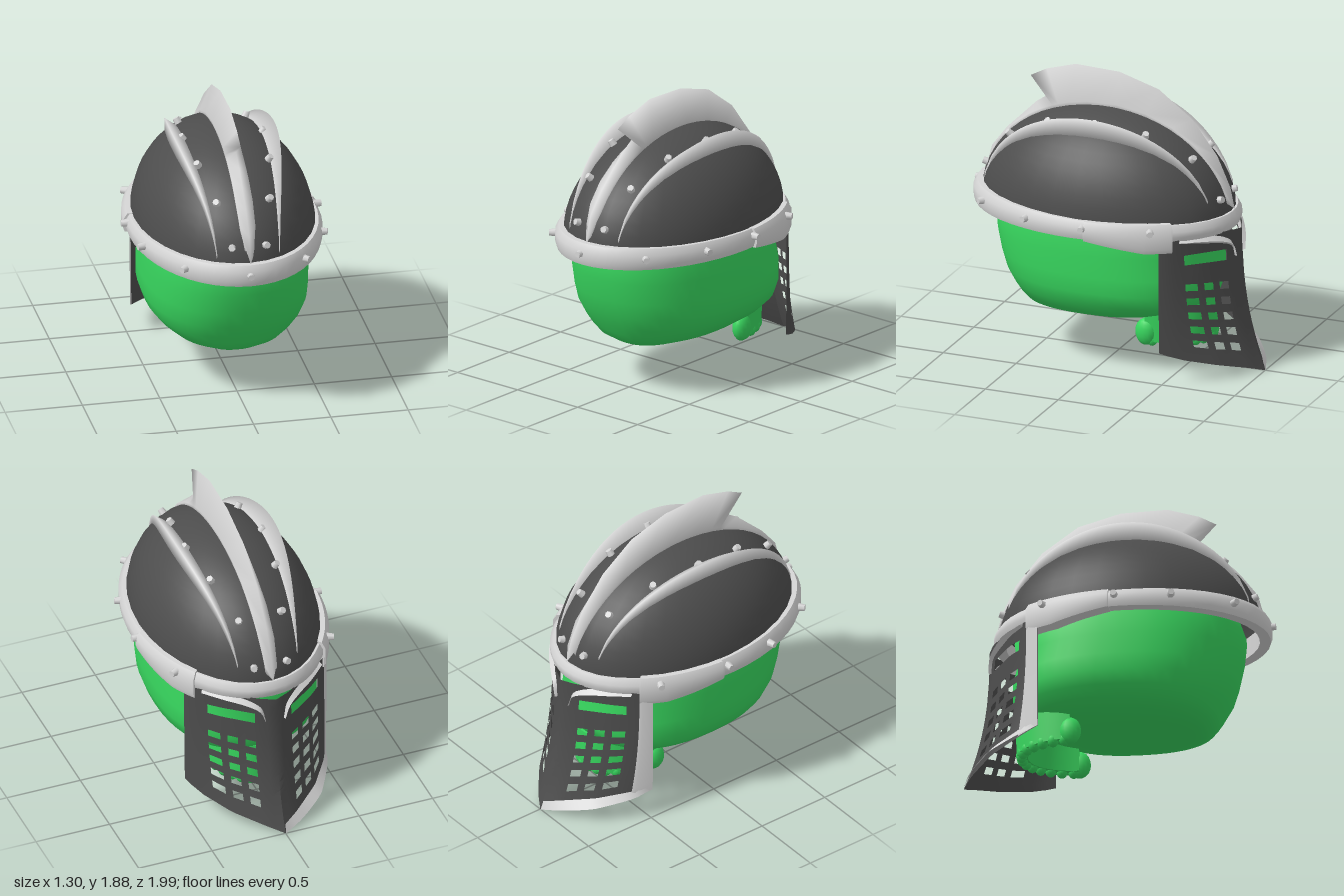
import * as THREE from 'three';
import { toCreasedNormals } from 'three/addons/utils/BufferGeometryUtils.js';

const steel = new THREE.MeshStandardMaterial({ color: 0xd6d6d6, side: THREE.DoubleSide });
const iron = new THREE.MeshStandardMaterial({ color: 0x4d4d4d, side: THREE.DoubleSide });
const green = new THREE.MeshStandardMaterial({ color: 0x38d85f });
steel.name = 'steel';
iron.name = 'darkIron';
green.name = 'greenBone';

// Dome ellipsoid
const D = { y: 1, z: 0.07, rx: 0.575, ry: 0.65, rz: 0.84 };
const domeY = (x, z) =>
  D.y + D.ry * Math.sqrt(Math.max(0, 1 - (x / D.rx) ** 2 - ((z - D.z) / D.rz) ** 2));

// Joins rows of points into a surface; skip(i, j) leaves holes
function loft(rows, { closed = false, caps = false, skip = null, crease = 0.7 } = {}) {
  const n = rows[0].length, pos = rows.flat(2), idx = [];
  for (let i = 0; i < rows.length - 1; i++) {
    for (let j = 0; j < (closed ? n : n - 1); j++) {
      if (skip && skip(i, j)) continue;
      const a = i * n + j, b = i * n + (j + 1) % n;
      idx.push(a, a + n, b + n, a, b + n, b);
    }
  }
  if (caps) {
    const e = (rows.length - 1) * n;
    for (let j = 1; j < n - 1; j++) idx.push(0, j, j + 1, e, e + j + 1, e + j);
  }
  const g = new THREE.BufferGeometry();
  g.setAttribute('position', new THREE.Float32BufferAttribute(pos, 3));
  g.setIndex(idx);
  g.computeVertexNormals();
  return toCreasedNormals(g, crease);
}
const range = (n, f) => Array.from({ length: n + 1 }, (_, i) => f(i / n));

// Visor surface: u runs from the middle (0) to the rear edge (+-1), v from top to bottom
const PLAN = [ // u, top x z y, bottom x z y
  [0, 0, -0.835, 0.94, 0, -1, 0],
  [0.2, 0.1, -0.8, 0.95, 0.1, -0.94, 0.04],
  [0.55, 0.3, -0.67, 0.96, 0.28, -0.79, 0.1],
  [0.85, 0.45, -0.53, 0.95, 0.43, -0.58, 0.16],
  [1, 0.48, -0.47, 0.93, 0.475, -0.47, 0.2],
];
function visorPoint(u, v) {
  const a = Math.abs(u);
  let k = 0;
  while (k < 3 && a > PLAN[k + 1][0]) k++;
  const f = (a - PLAN[k][0]) / (PLAN[k + 1][0] - PLAN[k][0]);
  const p = PLAN[k].map((q, i) => q + (PLAN[k + 1][i] - q) * f);
  const flare = v ** 2.4;
  return [Math.sign(u) * (p[1] + (p[4] - p[1]) * flare), p[3] + (p[6] - p[3]) * v, p[2] + (p[5] - p[2]) * flare];
}

export function createModel() {
  const root = new THREE.Group();
  const add = (name, geo, mat) => {
    const m = new THREE.Mesh(geo, mat);
    m.name = name;
    root.add(m);
    return m;
  };

  // Helmet dome
  const dome = new THREE.SphereGeometry(1, 32, 14, 0, Math.PI * 2, 0, Math.PI / 2);
  dome.scale(D.rx, D.ry, D.rz);
  dome.translate(0, D.y, D.z);
  add('dome', dome, iron);

  // Rim band, and the deeper side plates where the visor hangs
  const band = (a0, a1, grow, low, high) => loft(range(48, t => {
    const a = a0 + (a1 - a0) * t, c = Math.cos(a), s = Math.sin(a);
    const p = (d, y) => [c * (0.615 + d), y, 0.08 + s * (0.885 + d)];
    const b = low(t), h = high(s);
    return [p(-0.08, h), p(grow - 0.025, h), p(grow, h - 0.04), p(grow, b + 0.03), p(grow - 0.01, b), p(-0.08, b)];
  }), { closed: true, caps: true });
  add('rimBand', band(0, Math.PI * 2, 0, () => 0.945, s => 1.065 + 0.02 * s), steel);
  for (const side of [1, -1]) {
    const ang = k => side > 0 ? -k : Math.PI + k;
    const r = [ang(0.1), ang(0.78)];
    const start = side > 0 ? 1 : 0;
    add('hingePlate', band(Math.min(...r), Math.max(...r), 0.015,
      t => 0.94 - 0.065 * Math.min(1, 1.5 * Math.abs(t - start)), () => 1.065), steel);
  }

  // Central crest with a forward-hooked fin: base z, ridge z, ridge y, half width
  const crest = [
    [0.88, 0.92, 1.08, 0.03], [0.82, 0.875, 1.25, 0.05], [0.72, 0.77, 1.39, 0.055],
    [0.6, 0.65, 1.51, 0.055], [0.52, 0.57, 1.59, 0.055], [0.44, 0.47, 1.66, 0.055],
    [0.4, 0.61, 1.76, 0.055], [0.33, 0.5, 1.82, 0.055], [0.2, 0.3, 1.88, 0.055],
    [0, 0, 1.87, 0.055], [-0.2, -0.27, 1.79, 0.055], [-0.38, -0.5, 1.62, 0.055],
    [-0.54, -0.67, 1.4, 0.055], [-0.68, -0.76, 1.2, 0.05], [-0.75, -0.79, 1.06, 0.04],
  ];
  add('crest', loft(crest.map(([zb, zo, yo, w]) => {
    const y = domeY(w, zb);
    return [[w, y - 0.03, zb], [w, y + 0.02, zb], [0, yo, zo], [-w, y + 0.02, zb], [-w, y - 0.03, zb]];
  }), { closed: true, caps: true, crease: 3.1 }), steel);

  // Curved blades on both sides of the crest
  for (const side of [1, -1]) {
    add('sideBlade', loft(range(28, t => {
      const s = Math.sin(Math.PI * t), z = 0.84 - 1.53 * t;
      const xi = 0.2 + 0.05 * s, xo = 0.205 + 0.125 * s;
      const row = [
        [side * xo, domeY(xo, z) - 0.01, z],
        [side * (0.205 + 0.13 * s), domeY(xi, z) + 0.015 + 0.05 * s, z],
        [side * xi, domeY(xi, z) + 0.004, z],
        [side * xi, domeY(xi, z) - 0.03, z],
      ];
      return side > 0 ? row : row.reverse();
    }), { closed: true, caps: true, crease: 3.1 }), steel);
  }

  // Rivets on the dome and round the rim
  const rivetGeo = new THREE.CylinderGeometry(0.021, 0.027, 0.05, 7);
  const rivet = (p, n) => {
    const m = add('rivet', rivetGeo, steel);
    m.position.set(...p);
    m.quaternion.setFromUnitVectors(new THREE.Vector3(0, 1, 0), n.normalize());
  };
  const rows = [[0.11, -0.735], [0.145, -0.56], [0.22, -0.27], [0.26, 0.06], [0.23, 0.39], [0.17, 0.68], [0.11, 0.865]];
  for (const [x0, z] of rows) {
    for (const x of [x0, -x0]) {
      const y = domeY(x, z);
      rivet([x, y + 0.012, z], new THREE.Vector3(x / D.rx ** 2, (y - D.y) / D.ry ** 2, (z - D.z) / D.rz ** 2));
    }
  }
  const rim = [[-0.01, 0.965], [0.385, 0.785], [-0.4, 0.775], [0.58, 0.41], [-0.595, 0.39],
    [0.625, 0], [-0.625, 0.03], [0.53, -0.43], [-0.525, -0.44]];
  for (const [x, z] of rim) rivet([x, 1.02, z], new THREE.Vector3(x / 0.38, 0, (z - 0.08) / 0.79));

  // Pierced visor
  const half = [0.1, 0.17, 0.24, 0.34, 0.41, 0.51, 0.58, 0.7, 0.8, 0.92, 1];
  const us = [...half.map(u => -u).reverse(), 0, ...half];
  const vs = [0, 0.07, 0.135, 0.215];
  for (let k = 0; k < 5; k++) vs.push(0.37 + k * 0.113, 0.425 + k * 0.113);
  vs.push(0.94, 1);
  const inside = (x, list) => list.some(([a, b]) => x > a && x < b);
  add('visor', loft(us.map(u => vs.map(v => visorPoint(u, v))), {
    skip: (i, j) => {
      const u = Math.abs(us[i] + us[i + 1]) / 2;
      if (j === 2) return u > 0.24 && u < 0.7;
      return j >= 4 && j <= 12 && j % 2 === 0 && inside(u, [[0.24, 0.34], [0.41, 0.51], [0.58, 0.7]]);
    },
  }), iron);

  // Bright trim on the lower and rear edge of one visor half
  const shift = (p, d) => [p[0] - d, p[1], Math.max(-1, p[2] - d * 0.6)];
  add('visorLowerTrim', loft(range(16, t => [
    shift(visorPoint(-t, 0.94), 0.006),
    shift(visorPoint(-t, 1), 0.035 * Math.sin(Math.PI * t) + 0.004),
  ])), steel);
  add('visorRearTrim', loft([-1, -0.85, -0.82].map(u => range(12, t => shift(visorPoint(u, t), 0.007)))), steel);

  // Brows curving down to the middle of the visor
  for (const side of [1, -1]) {
    const path = new THREE.CatmullRomCurve3(
      [[0.75, 0.02], [0.5, 0.04], [0.3, 0.06], [0.17, 0.1], [0.12, 0.19]]
        .map(([u, v]) => new THREE.Vector3(...visorPoint(side * u, v))));
    add('brow', loft(range(16, t => {
      const p = path.getPoint(t), r = 0.003 + 0.028 * Math.sin(Math.PI * (0.1 + 0.9 * t));
      const row = [
        [p.x, p.y + r, p.z + 0.005],
        [p.x + side * (r * 0.6 + 0.004), p.y, p.z - 0.018],
        [p.x - side * r * 0.4, p.y - r, p.z + 0.005],
      ];
      return side > 0 ? row : row.reverse();
    }), { closed: true, caps: true }), steel);
  }

  // Skull: y, half width, back z, face z
  const rings = [
    [0.29, 0.1, 0.46, -0.06], [0.305, 0.24, 0.53, -0.22], [0.35, 0.37, 0.6, -0.42],
    [0.4, 0.44, 0.635, -0.57], [0.46, 0.49, 0.67, -0.65], [0.55, 0.52, 0.72, -0.68],
    [0.66, 0.525, 0.755, -0.68], [0.8, 0.52, 0.785, -0.65], [0.95, 0.515, 0.8, -0.67],
    [1.1, 0.47, 0.75, -0.53], [1.25, 0.38, 0.6, -0.4],
  ];
  const pw = (v, e) => Math.sign(v) * Math.abs(v) ** e;
  add('skull', loft(rings.map(([y, rx, zb, zf]) => Array.from({ length: 48 }, (_, k) => {
    const a = k / 48 * Math.PI * 2, s = Math.sin(a);
    return [rx * pw(Math.cos(a), 0.85), y, (zb + zf) / 2 + (zb - zf) / 2 * pw(s, 0.85)];
  })), { closed: true, caps: true, crease: 1.2 }), green);

  // Upper jaw, its rear knobs and a row of teeth
  const arc = (a, d, y) => [Math.cos(a) * (0.25 + d), y, -0.29 - Math.sin(a) * (0.34 + d)];
  add('upperJaw', loft(range(24, t => {
    const a = Math.PI * (1 - t);
    return [arc(a, -0.08, 0.47), arc(a, 0.04, 0.47), arc(a, 0.035, 0.3), arc(a, 0.03, 0.19), arc(a, -0.04, 0.19)];
  }), { closed: true, caps: true, crease: 1 }), green);
  const ball = new THREE.SphereGeometry(1, 14, 10);
  const lump = (name, p, s) => {
    const m = add(name, ball, green);
    m.position.set(...p);
    m.scale.set(...s);
  };
  for (let k = 0; k < 14; k++) lump('tooth', arc(Math.PI * (k + 0.5) / 14, 0, 0.2), [0.036, 0.045, 0.036]);
  for (const side of [1, -1]) lump('jawKnob', [side * 0.26, 0.25, -0.29], [0.05, 0.09, 0.07]);
  return root;
}
